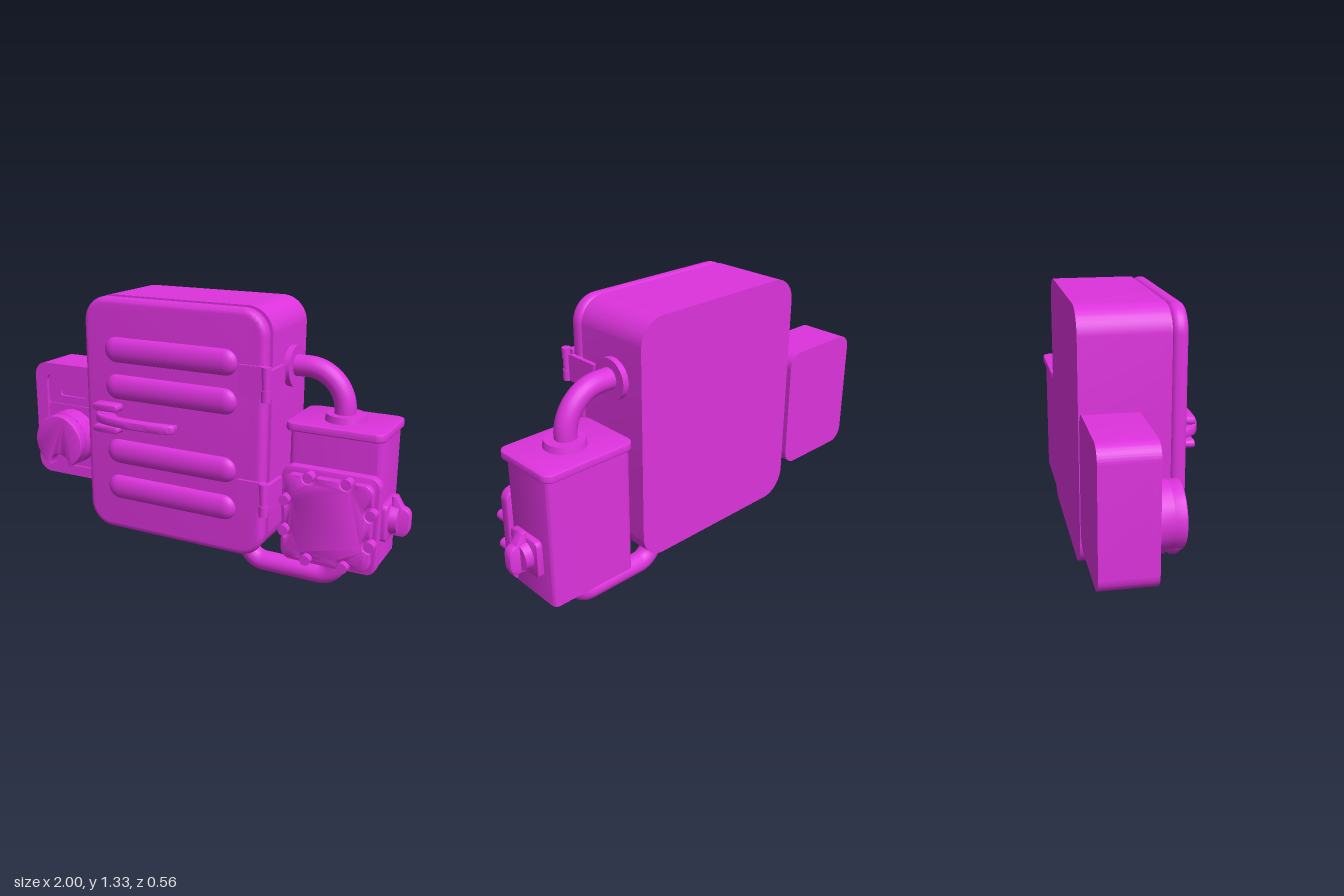
import * as THREE from 'three';
import { toCreasedNormals } from 'three/addons/utils/BufferGeometryUtils.js';

const material = new THREE.MeshStandardMaterial({ color: 0xdd33dd });

// Rounded rectangle between two corners
function roundRect(x0, y0, x1, y1, r, Type = THREE.Shape) {
  const s = new Type(), H = Math.PI / 2;
  s.absarc(x1 - r, y0 + r, r, -H, 0);
  s.absarc(x1 - r, y1 - r, r, 0, H);
  s.absarc(x0 + r, y1 - r, r, H, 2 * H);
  s.absarc(x0 + r, y0 + r, r, 2 * H, 3 * H);
  s.closePath();
  return s;
}

// Extrusion from z0 to z1, with the bevel kept inside the outline
function slab(shape, z0, z1, bevel = 0) {
  const g = new THREE.ExtrudeGeometry(shape, {
    depth: z1 - z0 - 2 * bevel, curveSegments: 10, bevelEnabled: bevel > 0,
    bevelSize: bevel, bevelThickness: bevel, bevelOffset: -bevel, bevelSegments: 4,
  });
  g.translate(0, 0, z0 + bevel);
  return toCreasedNormals(g, 0.6);
}

export function createModel() {
  const root = new THREE.Group();
  const add = (name, geometry, parent = root) => {
    const m = new THREE.Mesh(geometry, material);
    m.name = name;
    parent.add(m);
    return m;
  };
  const group = (name) => {
    const g = new THREE.Group();
    g.name = name;
    root.add(g);
    return g;
  };
  const cyl = (r, h, r2 = r) => new THREE.CylinderGeometry(r, r2, h, 28);

  // Main cabinet, gasket and door
  const cabinet = group('cabinet');
  add('cabinetBody', slab(roundRect(-0.52, 0.2, 0.41, 1.33, 0.12), -0.28, 0.102), cabinet);
  add('doorGasket', slab(roundRect(-0.505, 0.215, 0.395, 1.315, 0.11), 0.1, 0.12), cabinet);
  add('door', slab(roundRect(-0.52, 0.195, 0.41, 1.328, 0.12), 0.11, 0.18, 0.028), cabinet);
  for (const y of [1.09, 0.915, 0.6, 0.42]) {
    const rib = new THREE.CapsuleGeometry(0.06, 0.56, 8, 24);
    rib.rotateZ(Math.PI / 2).scale(1, 1, 0.6).translate(-0.06, y, 0.176);
    add('doorRib', rib, cabinet);
  }

  // Hinges: front leaf, side leaf and knuckled barrel
  for (const y of [1.02, 0.5]) {
    const hinge = group('hinge');
    add('frontLeaf', new THREE.BoxGeometry(0.13, 0.14, 0.03), hinge).position.set(0.355, y, 0.178);
    add('sideLeaf', new THREE.BoxGeometry(0.024, 0.125, 0.175), hinge).position.set(0.418, y - 0.015, 0.093);
    for (const k of [-1, 0, 1]) {
      add('knuckle', cyl(k ? 0.021 : 0.018, 0.05), hinge).position.set(0.425, y - 0.003 + k * 0.051, 0.199);
    }
  }

  // Door handle: two lugs and a curved lever seen from above
  const handle = group('handle');
  for (const y of [0.82, 0.715]) {
    add('handleLug', slab(roundRect(-0.45, y - 0.018, -0.31, y + 0.018, 0.017), 0.17, 0.234, 0.008), handle);
  }
  const lever = new THREE.Shape();
  lever.moveTo(-0.45, 0.18);
  lever.bezierCurveTo(-0.45, 0.25, -0.35, 0.28, -0.2, 0.28);
  lever.bezierCurveTo(-0.1, 0.282, -0.02, 0.275, 0, 0.245);
  lever.lineTo(0, 0.215);
  lever.bezierCurveTo(-0.07, 0.235, -0.24, 0.242, -0.31, 0.225);
  lever.lineTo(-0.36, 0.18);
  lever.closePath();
  const leverGeo = slab(lever, -0.02, 0.02, 0.006);
  // Shape y becomes z, thickness becomes height
  leverGeo.rotateX(Math.PI / 2).translate(0, 0.767, 0);
  add('handleLever', leverGeo, handle);

  // Side unit with framed recess, slot and dial
  const unit = group('sideUnit');
  add('unitBody', slab(roundRect(-1, 0.33, -0.55, 0.925, 0.07), -0.28, -0.075), unit);
  const frame = roundRect(-1, 0.33, -0.55, 0.925, 0.07);
  frame.holes.push(roundRect(-0.93, 0.385, -0.62, 0.865, 0.035, THREE.Path));
  add('unitFrame', slab(frame, -0.076, -0.042), unit);
  const upper = roundRect(-0.932, 0.71, -0.618, 0.867, 0.03);
  upper.holes.push(roundRect(-0.855, 0.755, -0.695, 0.8, 0.004, THREE.Path));
  add('slotPanel', slab(upper, -0.077, -0.06), unit);
  add('dialPanel', slab(roundRect(-0.932, 0.383, -0.618, 0.711, 0.03), -0.077, -0.053), unit);
  const disc = new THREE.Shape();
  disc.absarc(-0.775, 0.55, 0.142, 0, Math.PI * 2);
  add('dialBase', slab(disc, -0.06, 0.035), unit);
  const notched = new THREE.Shape();
  const a = 0.41; // half angle of the thumb notch
  notched.absarc(-0.775, 0.55, 0.14, -Math.PI / 2 + a, 1.5 * Math.PI - a);
  notched.absarc(-0.775, 0.428, 0.057, Math.PI + 0.11, -0.11, true);
  notched.closePath();
  add('dialFace', slab(notched, 0.03, 0.086, 0.006), unit);

  // Junction box with overhanging lid
  const box = group('junctionBox');
  const body = slab(roundRect(0.465, -0.02, 0.89, 0.268, 0.025), 0.19, 0.79);
  add('boxBody', body.rotateX(-Math.PI / 2), box);
  const lid = slab(roundRect(0.45, -0.057, 0.905, 0.283, 0.045), 0.785, 0.822, 0.006);
  add('boxLid', lid.rotateX(-Math.PI / 2), box);
  add('coverFlange', slab(roundRect(0.453, 0.175, 0.905, 0.63, 0.05), 0.015, 0.062, 0.006), box);

  // Raised cover, notched around its bolts
  const [L, R, B, T, n, c] = [0.476, 0.882, 0.202, 0.602, 0.036, 0.04];
  const cover = new THREE.Shape(), P = Math.PI;
  cover.moveTo(L + c, B);
  for (const x of [0.59, 0.765]) cover.absarc(x, B, n, P, 0, true);
  cover.absarc(R - c, B + c, c, -P / 2, 0);
  for (const y of [0.33, 0.475]) cover.absarc(R, y, n, -P / 2, P / 2, true);
  cover.absarc(R - c, T - c, c, 0, P / 2);
  for (const x of [0.765, 0.59]) cover.absarc(x, T, n, 0, P, true);
  cover.absarc(L + c, T - c, c, P / 2, P);
  for (const y of [0.475, 0.33]) cover.absarc(L, y, n, P / 2, -P / 2, true);
  cover.absarc(L + c, B + c, c, P, 1.5 * P);
  cover.closePath();
  add('boxCover', slab(cover, 0.055, 0.095, 0.007), box);
  const bolts = [];
  for (const x of [0.59, 0.765]) bolts.push([x, 0.205], [x, 0.597]);
  for (const y of [0.33, 0.475]) bolts.push([0.48, y], [0.88, y]);
  for (const [x, y] of bolts) {
    const bolt = cyl(0.024, 0.06).rotateX(P / 2);
    add('coverBolt', bolt, box).position.set(x, y, 0.078);
  }

  // Rotary switch on the outer side of the box
  const rotary = group('rotarySwitch');
  const plate = slab(roundRect(-0.095, -0.0875, 0.095, 0.0875, 0.025), 0, 0.035, 0.005);
  add('switchPlate', plate.rotateY(P / 2), rotary).position.set(0.882, 0.398, -0.107);
  add('switchDial', cyl(0.064, 0.04, 0.07).rotateZ(-P / 2), rotary).position.set(0.932, 0.398, -0.107);
  const grip = new THREE.Shape();
  grip.moveTo(0.915, 0.325);
  grip.lineTo(0.975, 0.325);
  grip.quadraticCurveTo(1, 0.34, 1, 0.37);
  grip.lineTo(1, 0.425);
  grip.quadraticCurveTo(0.995, 0.455, 0.965, 0.46);
  grip.lineTo(0.935, 0.51);
  grip.lineTo(0.915, 0.51);
  grip.closePath();
  add('switchGrip', slab(grip, -0.13, -0.084, 0.005), rotary);

  // Conduits with their collars
  const zc = -0.107;
  const conduit = (name, corners, bend) => {
    const pts = corners.map(([x, y]) => new THREE.Vector3(x, y, zc));
    const path = new THREE.CurvePath();
    let from = pts[0];
    for (let i = 1; i < pts.length - 1; i++) {
      const p = pts[i];
      const inn = p.clone().add(pts[i - 1].clone().sub(p).setLength(bend));
      const out = p.clone().add(pts[i + 1].clone().sub(p).setLength(bend));
      const k = 0.45;
      path.add(new THREE.LineCurve3(from, inn));
      path.add(new THREE.CubicBezierCurve3(inn, p.clone().lerp(inn, k), p.clone().lerp(out, k), out));
      from = out;
    }
    path.add(new THREE.LineCurve3(from, pts[pts.length - 1]));
    add(name, new THREE.TubeGeometry(path, 72, 0.049, 20));
  };
  conduit('upperConduit', [[0.4, 1.045], [0.675, 1.045], [0.675, 0.8]], 0.18);
  conduit('lowerConduit', [[0.21, 0.23], [0.215, 0.053], [0.675, 0.053], [0.675, 0.21]], 0.09);
  add('cabinetSideCollar', cyl(0.094, 0.03).rotateZ(P / 2)).position.set(0.424, 1.04, zc);
  add('boxTopCollar', cyl(0.088, 0.034, 0.095)).position.set(0.68, 0.835, zc);
  add('cabinetBottomCollar', cyl(0.094, 0.04, 0.088)).position.set(0.212, 0.185, zc);
  add('boxBottomCollar', cyl(0.094, 0.035, 0.088)).position.set(0.675, 0.182, zc);

  return root;
}
